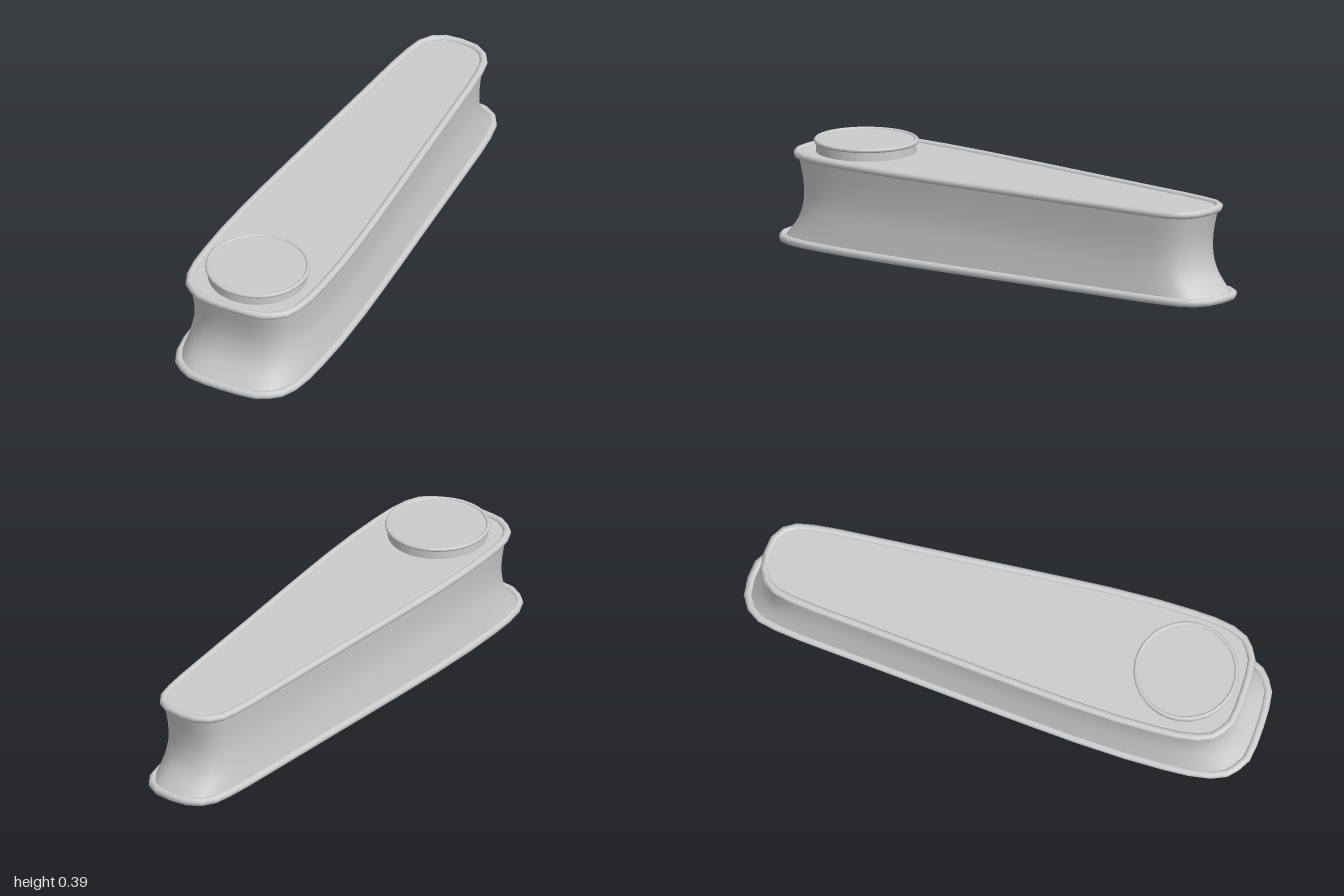
import * as THREE from 'three';

// Half of the tapered plan outline, [x, z], from the wide front to the narrow back
const HALF = [
  [0, 1], [0.08, 0.998], [0.145, 0.99], [0.19, 0.965], [0.225, 0.935], [0.25, 0.88], [0.264, 0.8],
  [0.269, 0.7], [0.27, 0.55], [0.262, 0.35], [0.25, 0.18], [0.236, 0], [0.219, -0.2], [0.203, -0.4],
  [0.187, -0.6], [0.175, -0.75], [0.163, -0.85], [0.148, -0.92], [0.118, -0.965], [0.07, -0.993],
];
const OUTLINE = [
  ...HALF, [0, -1],
  ...HALF.slice(1).reverse().map(([x, z]) => [-x, z]),
];

const material = new THREE.MeshStandardMaterial({ color: 0xcccccc });

// Skin through copies of the outline; each level is [scaleX, scaleZ, y, outward offset]
function loft(levels, closed = false) {
  const n = OUTLINE.length, pos = [], index = [];
  for (const [sx, sz, y, off = 0] of levels) {
    OUTLINE.forEach(([x, z], i) => {
      const p = OUTLINE[(i + n - 1) % n], q = OUTLINE[(i + 1) % n];
      const tx = (q[0] - p[0]) * sx, tz = (q[1] - p[1]) * sz;
      const len = Math.hypot(tx, tz) || 1;
      pos.push(x * sx - (tz / len) * off, y, z * sz + (tx / len) * off);
    });
  }
  const rows = levels.length;
  for (let j = 0; j < (closed ? rows : rows - 1); j++) {
    for (let i = 0; i < n; i++) {
      const a = j * n + i, b = j * n + (i + 1) % n;
      const k = ((j + 1) % rows) * n;
      const c = k + i, d = k + (i + 1) % n;
      index.push(a, b, d, a, d, c);
    }
  }
  const g = new THREE.BufferGeometry();
  g.setAttribute('position', new THREE.Float32BufferAttribute(pos, 3));
  g.setIndex(index);
  g.computeVertexNormals();
  return g;
}

// Round bead following the outline
function bead(sx, sz, y, r) {
  const levels = [];
  for (let k = 0; k < 12; k++) {
    const t = (k / 12) * Math.PI * 2;
    levels.push([sx, sz, y + r * Math.sin(t), r * Math.cos(t)]);
  }
  return loft(levels, true);
}

export function createModel() {
  const group = new THREE.Group();
  const add = (name, geometry, x = 0, y = 0, z = 0) => {
    const mesh = new THREE.Mesh(geometry, material);
    mesh.name = name;
    mesh.position.set(x, y, z);
    group.add(mesh);
    return mesh;
  };

  // Waisted side wall, as a smooth curve through [scaleX, y, scaleZ]
  const waist = new THREE.CatmullRomCurve3([
    [0.945, 0.016, 0.98], [0.93, 0.035, 0.963], [0.89, 0.1, 0.915],
    [0.856, 0.17, 0.897], [0.856, 0.24, 0.9], [0.885, 0.34, 0.922],
  ].map((p) => new THREE.Vector3(...p)));
  add('bodyWall', loft(waist.getPoints(16).map((p) => [p.x, p.z, p.y])));

  // Flat top and underside
  add('topPanel', loft([[0.89, 0.925, 0.343], [0, 0, 0.343]]));
  add('bottomPanel', loft([[0, 0, 0.014], [0.945, 0.985, 0.014]]));

  // Rounded rims
  add('bottomRim', bead(0.945, 0.985, 0.0165, 0.0155));
  add('topRim', bead(0.89, 0.923, 0.34, 0.0145));

  // Raised round boss near the front, with its own rim
  add('boss', new THREE.CylinderGeometry(0.186, 0.186, 0.046, 48), 0, 0.363, 0.7);
  const rim = add('bossRim', new THREE.TorusGeometry(0.187, 0.008, 10, 48), 0, 0.384, 0.7);
  rim.rotation.x = Math.PI / 2;

  return group;
}
